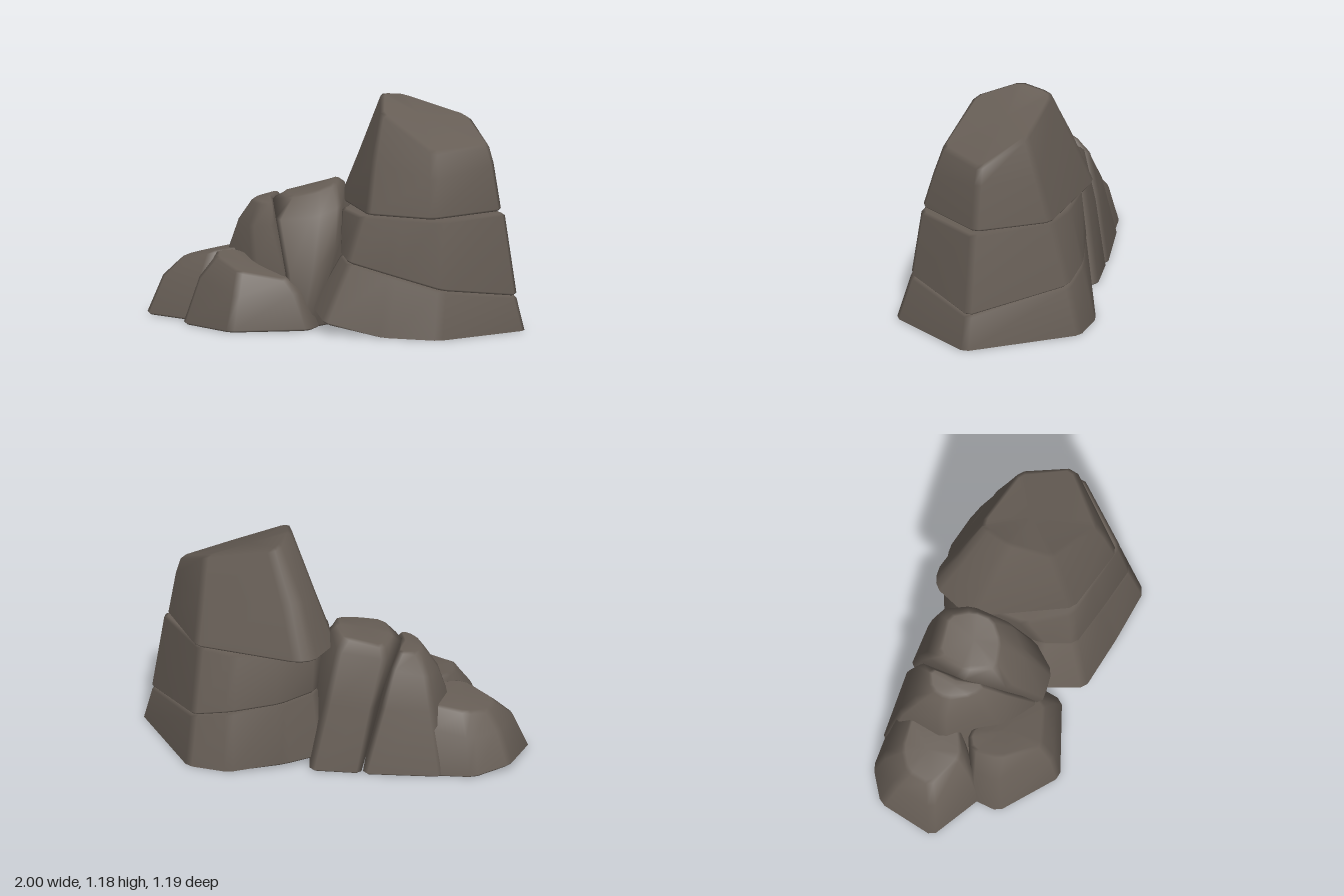
import * as THREE from 'three';

// Cut each corner of a ring so that the vertical edges are softly bevelled.
function bevelCorners(ring, cut) {
  const out = [];
  ring.forEach((p, i) => {
    const n = ring.length;
    for (const q of [ring[(i + n - 1) % n], ring[(i + 1) % n]]) {
      const t = Math.min(0.4, cut / p.distanceTo(q));
      out.push(p.clone().lerp(q, t));
    }
  });
  return out;
}

const centreOf = ring => ring.reduce((s, p) => s.add(p), new THREE.Vector3()).divideScalar(ring.length);

// Pull a ring in towards its centre, to round the rim of a block.
function inset(ring, amount, lift) {
  const c = centreOf(ring);
  return ring.map(p => {
    const d = c.clone().sub(p);
    const q = p.clone().addScaledVector(d, amount / d.length());
    q.y = Math.max(0, q.y + lift);
    return q;
  });
}

// Loft a stone through rings of [x, y, z] corners, listed bottom to top
// and running clockwise from the back as seen from above.
function stone(name, material, rows, { cut = 0.025, rim = 0.02, foot = 0.012 } = {}) {
  const rings = rows.map(r => bevelCorners(r.map(p => new THREE.Vector3(...p)), cut));
  const first = rings[0], last = rings[rings.length - 1];
  rings.unshift(inset(first, foot, -foot));
  rings.push(inset(last, rim, rim * 0.55));
  const n = first.length, points = rings.flat(), index = [];
  for (let r = 0; r < rings.length - 1; r++) {
    for (let j = 0; j < n; j++) {
      const a = r * n + j, b = r * n + (j + 1) % n;
      index.push(b, a, a + n, b, a + n, b + n);
    }
  }
  // Close both ends with fans
  const low = points.push(centreOf(rings[0])) - 1;
  const high = points.push(centreOf(rings[rings.length - 1])) - 1;
  const top = (rings.length - 1) * n;
  for (let j = 0; j < n; j++) {
    const k = (j + 1) % n;
    index.push(low, j, k, high, top + k, top + j);
  }
  const geometry = new THREE.BufferGeometry().setFromPoints(points);
  geometry.setIndex(index);
  geometry.computeVertexNormals();
  const mesh = new THREE.Mesh(geometry, material);
  mesh.name = name;
  return mesh;
}

// Give a flat [x, z] outline its height from a rule.
const level = (outline, height) => outline.map(([x, z]) => [x, height(x, z), z]);

export function createModel() {
  const group = new THREE.Group();
  group.name = 'rockFormation';
  const rock = new THREE.MeshStandardMaterial({ color: 0x675e56 });
  rock.name = 'brownGreyStone';

  // Sloping bed between the two lower slabs of the tower
  const bed = (x, z) => 0.395 - 0.22 * x + 0.012 * Math.sin(5 * z);

  const towerBase = stone('towerBase', rock, [
    level([[0.36, -0.59], [0.585, -0.595], [1.01, -0.12], [0.745, 0.37], [0.45, 0.405], [0.12, 0.44], [-0.05, 0.23], [-0.06, -0.3], [0.1, -0.44]],
      (x, z) => Math.max(0, 0.1 - 0.28 * x) * (z > 0 ? 1 : 0.4)),
    level([[0.38, -0.53], [0.58, -0.535], [0.965, -0.12], [0.73, 0.3], [0.45, 0.32], [0.2, 0.325], [0.09, 0.18], [-0.01, -0.28], [0.13, -0.44]],
      (x, z) => bed(x, z) - 0.014),
  ]);

  const towerMiddle = stone('towerMiddle', rock, [
    level([[0.38, -0.525], [0.58, -0.53], [0.965, -0.12], [0.73, 0.295], [0.45, 0.315], [0.2, 0.325], [0.09, 0.18], [-0.01, -0.28], [0.13, -0.44]],
      (x, z) => bed(x, z) + 0.012),
    level([[0.38, -0.45], [0.58, -0.44], [0.9, -0.12], [0.7, 0.255], [0.46, 0.265], [0.25, 0.27], [0.06, 0.1], [-0.02, -0.28], [0.13, -0.42]],
      x => 0.592 + 0.006 * Math.sin(x * 14)),
  ]);

  const towerTop = stone('towerTop', rock, [
    [[0.04, 0.622, -0.44], [0.6, 0.622, -0.437], [0.875, 0.628, -0.12], [0.66, 0.622, 0.26], [0.28, 0.62, 0.255], [-0.075, 0.622, -0.16], [-0.04, 0.622, -0.39]],
    [[0.13, 0.9, -0.36], [0.6, 0.85, -0.37], [0.835, 0.86, -0.12], [0.645, 0.8, 0.21], [0.28, 0.88, 0.185], [0.05, 0.88, -0.13], [0.06, 0.9, -0.32]],
    [[0.23, 1.15, -0.295], [0.6, 1.06, -0.31], [0.81, 0.935, -0.12], [0.62, 0.93, 0.17], [0.29, 1.11, 0.115], [0.19, 1.185, -0.1], [0.2, 1.16, -0.26]],
  ], { rim: 0.025 });

  const leaningSlab = stone('leaningSlab', rock, [
    [[-0.29, 0.01, -0.375], [-0.03, 0.01, -0.435], [0.08, 0.01, -0.15], [-0.01, 0.01, 0.22], [-0.04, 0.01, 0.3], [-0.14, 0.01, 0.3], [-0.2, 0.01, 0.0]],
    [[-0.335, 0.35, -0.3], [-0.09, 0.36, -0.365], [0.06, 0.4, -0.15], [0.07, 0.43, 0.16], [0.02, 0.31, 0.3], [-0.14, 0.28, 0.35], [-0.28, 0.35, 0.05]],
    [[-0.37, 0.6, -0.22], [-0.13, 0.64, -0.3], [-0.04, 0.705, -0.16], [0.03, 0.6, 0.04], [-0.05, 0.56, 0.17], [-0.25, 0.54, 0.23], [-0.38, 0.62, 0.0]],
    [[-0.34, 0.635, -0.17], [-0.15, 0.69, -0.24], [-0.06, 0.725, -0.14], [-0.03, 0.7, -0.03], [-0.1, 0.665, 0.07], [-0.23, 0.64, 0.13], [-0.33, 0.645, 0.0]],
  ]);

  const middleSlab = stone('middleSlab', rock, [
    [[-0.7, 0.01, -0.265], [-0.3, 0.01, -0.38], [-0.2, 0.05, 0.0], [-0.1, 0.09, 0.3], [-0.35, 0.09, 0.3], [-0.66, 0.07, 0.1]],
    [[-0.63, 0.34, -0.21], [-0.37, 0.35, -0.3], [-0.28, 0.35, 0.0], [-0.14, 0.28, 0.33], [-0.36, 0.3, 0.27], [-0.61, 0.36, 0.05]],
    [[-0.575, 0.5, -0.15], [-0.405, 0.56, -0.24], [-0.37, 0.59, 0.0], [-0.26, 0.51, 0.23], [-0.42, 0.49, 0.18], [-0.575, 0.49, 0.02]],
    [[-0.51, 0.595, -0.1], [-0.42, 0.62, -0.17], [-0.38, 0.62, 0.0], [-0.32, 0.595, 0.13], [-0.41, 0.595, 0.11], [-0.51, 0.59, 0.0]],
  ]);

  const lowStone = stone('lowStone', rock, [
    [[-0.85, 0.01, -0.215], [-0.6, 0.01, -0.28], [-0.5, 0.07, 0.1], [-0.66, 0.01, 0.34], [-0.985, 0.01, 0.25], [-1.0, 0.04, -0.065]],
    [[-0.82, 0.2, -0.17], [-0.6, 0.25, -0.23], [-0.5, 0.25, 0.1], [-0.65, 0.2, 0.28], [-0.92, 0.2, 0.2], [-0.93, 0.2, -0.03]],
    [[-0.77, 0.3, -0.1], [-0.6, 0.34, -0.15], [-0.5, 0.355, 0.08], [-0.64, 0.335, 0.2], [-0.85, 0.28, 0.14], [-0.86, 0.28, 0.0]],
  ]);

  const frontStone = stone('frontStone', rock, [
    [[-0.45, 0.01, 0.1], [0.0, 0.01, 0.22], [0.01, 0.01, 0.37], [-0.34, 0.01, 0.605], [-0.68, 0.01, 0.45], [-0.705, 0.01, 0.28]],
    [[-0.48, 0.24, 0.12], [-0.08, 0.2, 0.24], [-0.06, 0.19, 0.375], [-0.33, 0.18, 0.56], [-0.62, 0.24, 0.39], [-0.64, 0.24, 0.25]],
    [[-0.52, 0.355, 0.15], [-0.13, 0.25, 0.26], [-0.12, 0.245, 0.36], [-0.34, 0.295, 0.5], [-0.54, 0.345, 0.36], [-0.59, 0.355, 0.22]],
  ]);

  group.add(towerBase, towerMiddle, towerTop, leaningSlab, middleSlab, lowStone, frontStone);
  return group;
}
